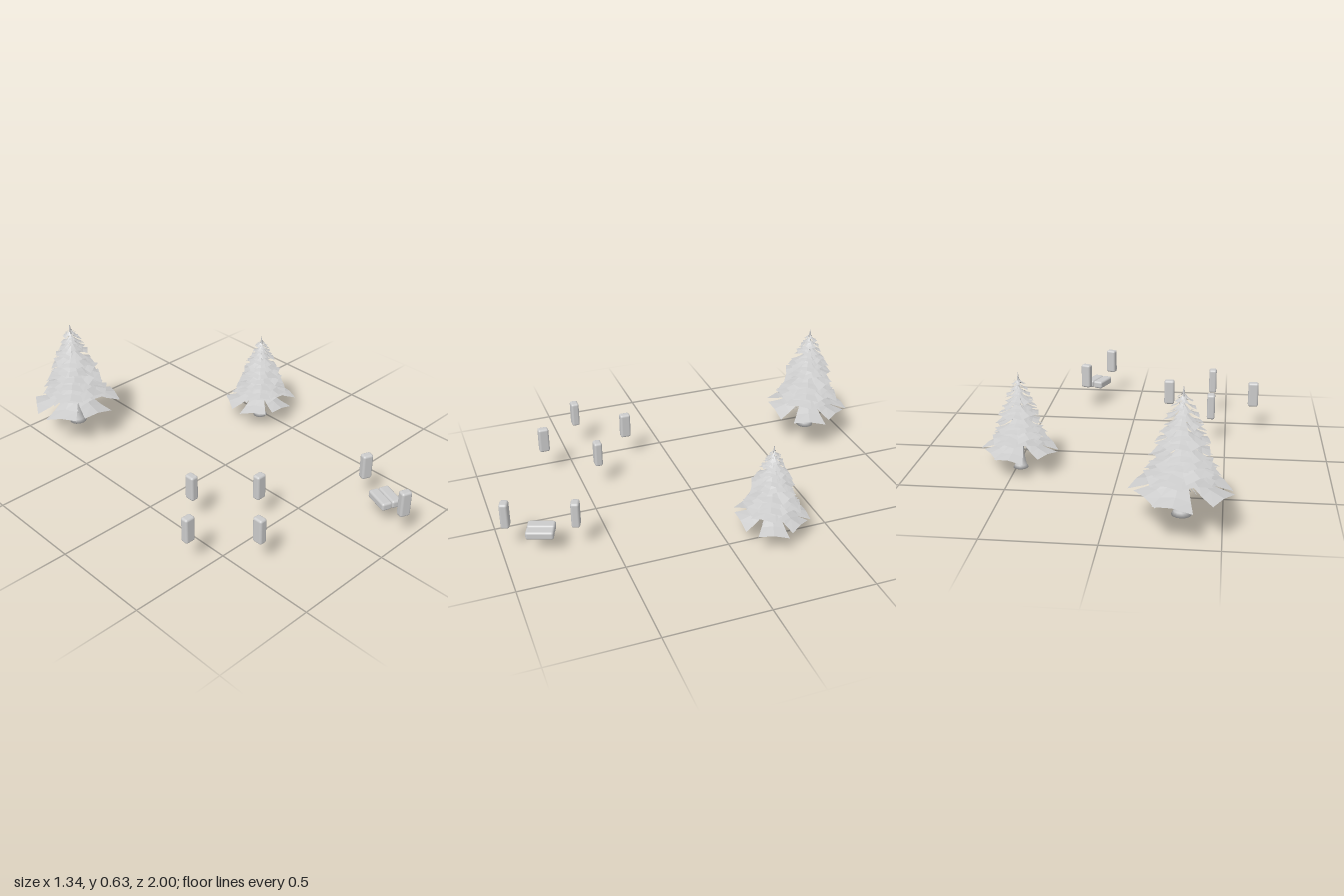
import * as THREE from 'three';
import { RoundedBoxGeometry } from 'three/addons/geometries/RoundedBoxGeometry.js';
import { mergeGeometries } from 'three/addons/utils/BufferGeometryUtils.js';

const grey = new THREE.MeshStandardMaterial({ color: 0xcccccc });
const leafGrey = new THREE.MeshStandardMaterial({ color: 0xcccccc, flatShading: true, side: THREE.DoubleSide });

// Repeatable jitter in -1..1
const jitter = (n) => {
  const s = Math.sin(n * 12.9898 + 4.1) * 43758.5453;
  return (s - Math.floor(s)) * 2 - 1;
};

// Drooping fan-shaped bough, narrow at the trunk and widest at its straight outer edge
function bough(angle, radius, tipY, drop, width, roll) {
  const g = new THREE.PlaneGeometry(2, 1, 2, 3);
  const p = g.attributes.position;
  for (let i = 0; i < p.count; i++) {
    const v = p.getX(i);
    const t = 0.5 - p.getY(i);
    const half = (width / 2) * (0.25 + 0.75 * t);
    const y = tipY + drop * Math.pow(1 - t, 1.4) + roll * v * t - 0.06 * width * v * v;
    p.setXYZ(i, half * v, y, 0.008 + (radius - 0.008) * t);
  }
  return g.rotateY(angle);
}

// Layers of the tree: tip height, reach, droop, number of boughs
const LAYERS = [
  [0.185, 0.155, 0.06, 7],
  [0.215, 0.145, 0.055, 7],
  [0.25, 0.132, 0.05, 7],
  [0.29, 0.122, 0.05, 7],
  [0.33, 0.11, 0.045, 7],
  [0.37, 0.095, 0.04, 6],
  [0.41, 0.08, 0.035, 6],
  [0.445, 0.062, 0.03, 6],
  [0.475, 0.048, 0.025, 6],
  [0.5, 0.036, 0.02, 5],
  [0.52, 0.024, 0.016, 5],
];
// Wide skirt of the tree: bearing in degrees, reach
const SKIRT = [[0, 0.187], [70, 0.212], [126, 0.185], [172, 0.203], [239, 0.207], [300, 0.2]];

function makeTree() {
  const tree = new THREE.Group();

  // Trunk flares at the root and ends in a spike
  const profile = [[0, 0], [0.044, 0], [0.034, 0.018], [0.027, 0.045], [0.022, 0.085], [0.018, 0.15],
    [0.012, 0.35], [0.006, 0.5], [0.005, 0.54], [0, 0.572]].map(([x, y]) => new THREE.Vector2(x, y));
  const trunk = new THREE.Mesh(new THREE.LatheGeometry(profile, 14), grey);
  trunk.name = 'trunk';
  tree.add(trunk);

  // Bare twigs below the foliage
  const twigs = [];
  for (let i = 0; i < 9; i++) {
    const y = 0.115 + 0.018 * jitter(i + 50);
    const len = 0.06 + 0.012 * jitter(i + 70);
    const curve = new THREE.QuadraticBezierCurve3(
      new THREE.Vector3(0, y, 0.012),
      new THREE.Vector3(0.006 * jitter(i), y + 0.004, len * 0.6),
      new THREE.Vector3(0, y - 0.028, len));
    twigs.push(new THREE.TubeGeometry(curve, 4, 0.0016, 4).rotateY(i * 2.4));
  }
  const twigMesh = new THREE.Mesh(mergeGeometries(twigs), grey);
  twigMesh.name = 'bareTwigs';
  tree.add(twigMesh);

  // Skirt of large boughs
  const skirt = SKIRT.map(([deg, r], i) =>
    bough(THREE.MathUtils.degToRad(deg), r, 0.122 + 0.006 * jitter(i + 3), 0.085, 0.17, 0.012 * jitter(i + 20)));
  const skirtMesh = new THREE.Mesh(mergeGeometries(skirt), leafGrey);
  skirtMesh.name = 'lowerBoughs';
  tree.add(skirtMesh);

  // Overlapping upper layers
  LAYERS.forEach(([y, r, drop, count], k) => {
    const boughs = [];
    for (let i = 0; i < count; i++) {
      const n = k * 10 + i;
      const angle = ((i + 0.15 * jitter(n)) / count) * Math.PI * 2 + k * 1.9;
      boughs.push(bough(angle, r * (1 + 0.08 * jitter(n + 200)), y + 0.009 * jitter(n + 300),
        drop, r * 0.92, r * 0.07 * jitter(n + 400)));
    }
    const layer = new THREE.Mesh(mergeGeometries(boughs), leafGrey);
    layer.name = 'boughLayer' + (k + 1);
    tree.add(layer);
  });
  return tree;
}

export function createModel() {
  const model = new THREE.Group();
  model.name = 'grove';

  // Two spruces of one design, the near one smaller
  const large = makeTree();
  large.name = 'largeTree';
  large.position.set(-0.327, 0.058, -0.792);
  const small = makeTree();
  small.name = 'smallTree';
  small.scale.setScalar(0.84);
  small.position.set(0.48, 0, -0.222);
  model.add(large, small);

  // Standing stones: x, z, turn
  const turn = -0.36;
  const stoneGeo = new RoundedBoxGeometry(0.053, 0.13, 0.04, 3, 0.011);
  const STONES = [
    [-0.642, 0.43, 0], [-0.197, 0.427, 0],
    [-0.424, 0.215, Math.PI / 2], [-0.424, 0.65, Math.PI / 2],
    [0.283, 0.665, turn], [0.178, 0.969, turn],
  ];
  for (const [x, z, a] of STONES) {
    const stone = new THREE.Mesh(stoneGeo, grey);
    stone.name = 'standingStone';
    stone.position.set(x, 0.193, z);
    stone.rotation.y = a;
    model.add(stone);
  }

  // Pair of stones lying side by side
  const pair = new THREE.Group();
  pair.name = 'lyingStones';
  for (const side of [-1, 1]) {
    const stone = new THREE.Mesh(stoneGeo, grey);
    stone.name = 'lyingStone';
    stone.rotation.x = Math.PI / 2;
    stone.position.x = side * 0.0265;
    pair.add(stone);
  }
  pair.position.set(0.238, 0.11, 0.822);
  pair.rotation.y = turn;
  model.add(pair);

  return model;
}
